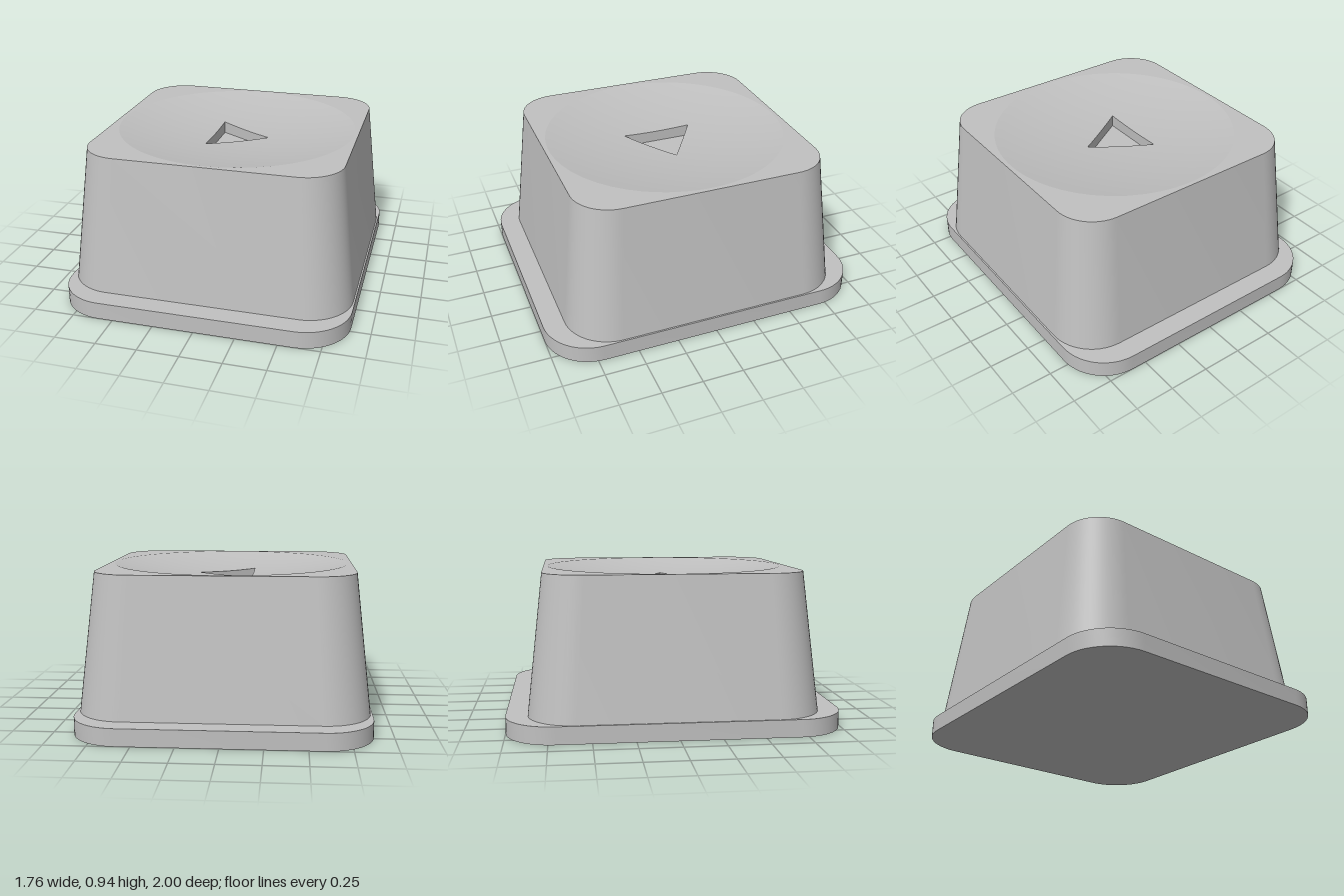
import * as THREE from 'three';
import { toCreasedNormals } from 'three/addons/utils/BufferGeometryUtils.js';

const V = (x, z) => new THREE.Vector2(x, z);

// Rounded rectangle outline in (x, z), running from +x towards +z
function outline(hx, hz, r, steps = 14) {
  const pts = [];
  [[1, 1], [-1, 1], [-1, -1], [1, -1]].forEach(([sx, sz], k) => {
    for (let i = 0; i <= steps; i++) {
      const a = (k + i / steps) * Math.PI / 2;
      pts.push(V(sx * (hx - r) + r * Math.cos(a), sz * (hz - r) + r * Math.sin(a)));
    }
  });
  return pts;
}

// Closed skin through rings of { pts, y }, where y is a number or a function of the point
function loft(rings) {
  const n = rings[0].pts.length, pos = [], index = [];
  for (const { pts, y } of rings)
    for (const p of pts) pos.push(p.x, typeof y === 'function' ? y(p) : y, p.y);
  for (let j = 0; j < rings.length - 1; j++)
    for (let i = 0; i < n; i++) {
      const k = (i + 1) % n;
      const a = j * n + i, b = j * n + k, c = b + n, d = a + n;
      index.push(a, d, c, a, c, b);
    }
  const geo = new THREE.BufferGeometry();
  geo.setAttribute('position', new THREE.Float32BufferAttribute(pos, 3));
  geo.setIndex(index);
  return toCreasedNormals(geo, 0.5);
}

// Flat face at height y, facing up or down, with an optional hole
function cap(pts, y, up = true, hole = null) {
  const s = up ? -1 : 1;
  const flip = (list) => list.map((p) => V(p.x, s * p.y));
  const shape = new THREE.Shape(flip(pts));
  if (hole) shape.holes.push(new THREE.Path(flip(hole)));
  return new THREE.ShapeGeometry(shape).rotateX(s * Math.PI / 2).translate(0, y, 0);
}

export function createModel() {
  const group = new THREE.Group();
  const grey = new THREE.MeshStandardMaterial({ name: 'light grey', color: 0xc0c0c0 });
  const add = (name, geo) => {
    const mesh = new THREE.Mesh(geo, grey);
    mesh.name = name;
    group.add(mesh);
  };

  const baseY = 0.105, topY = 0.94, floorY = 0.8;
  const dishR = 0.75, dishDepth = 0.075;
  const dishY = (p) => topY - dishDepth * (1 - p.lengthSq() / dishR ** 2);

  // Base flange
  const flange = outline(0.88, 1, 0.29);
  const bodyLow = outline(0.87, 0.87, 0.28);
  const bodyHigh = outline(0.775, 0.775, 0.235);
  add('baseFlange', loft([
    { pts: flange, y: 0 }, { pts: flange, y: baseY }, { pts: bodyLow, y: baseY },
  ]));
  add('baseUnderside', cap(flange, 0, false));

  // Tapered button body
  add('buttonBody', loft([{ pts: bodyLow, y: baseY }, { pts: bodyHigh, y: topY }]));

  // Triangle edge points, and the matching points on the dish circle
  const corners = [V(0.205, 0), V(-0.145, 0.22), V(-0.145, -0.22)];
  const triangle = [];
  corners.forEach((c, k) => {
    for (let i = 0; i < 28; i++) triangle.push(c.clone().lerp(corners[(k + 1) % 3], i / 28));
  });
  const circle = triangle.map((p) => p.clone().setLength(dishR));

  // Flat rim and shallow concave dish
  add('topRim', cap(bodyHigh, topY, true, circle));
  const dishRings = [];
  for (let j = 0; j <= 14; j++)
    dishRings.push({ pts: circle.map((p, i) => p.clone().lerp(triangle[i], j / 14)), y: dishY });
  add('topDish', loft(dishRings));

  // Sunken triangle
  add('recessWalls', loft([{ pts: triangle, y: dishY }, { pts: triangle, y: floorY }]));
  add('recessFloor', cap(corners, floorY));

  return group;
}
